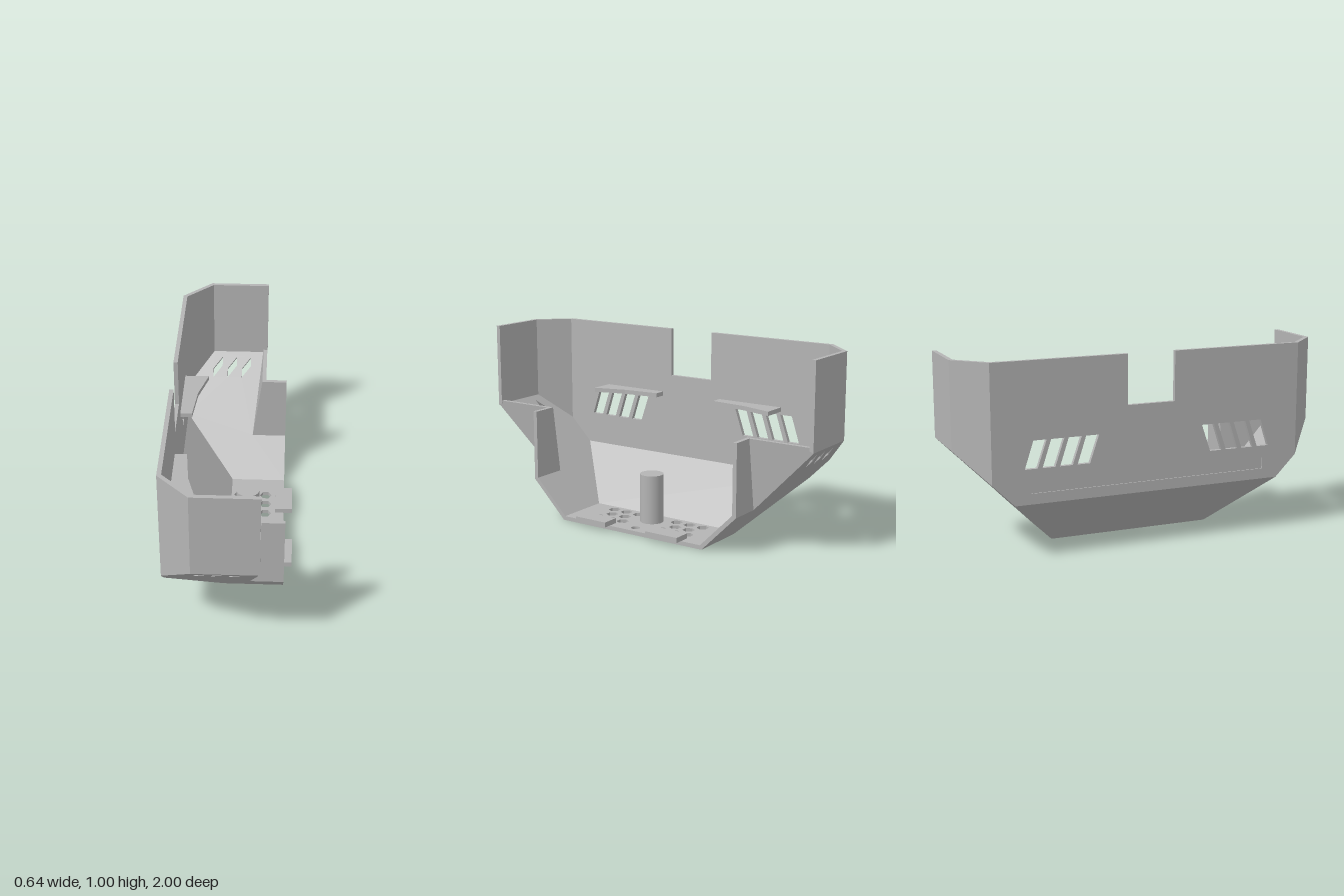
import * as THREE from 'three';

const T = 0.022; // wall thickness
const V = (x, y, z) => new THREE.Vector3(x, y, z);

// Plane through n.p = d; walls move inward with depth, rims (cut edges) stay put
function plane(x, y, z, d, rim = false) {
  const n = V(x, y, z), len = n.length();
  return { n: n.divideScalar(len), d: d / len, rim };
}
const rim = (x, y, z, d) => plane(x, y, z, d, true);

// Common point of three planes at depth t
function meet(a, b, c, t) {
  const off = (p) => (p.rim ? p.d : p.d - t);
  const bc = b.n.clone().cross(c.n), ca = c.n.clone().cross(a.n), ab = a.n.clone().cross(b.n);
  const det = a.n.dot(bc);
  return bc.multiplyScalar(off(a)).add(ca.multiplyScalar(off(b))).add(ab.multiplyScalar(off(c))).divideScalar(det);
}

// Mitred wall on plane p bounded by a ring of planes, between depths t0 and t1, with holes
function wallGeometry(p, ring, holes = [], t0 = 0, t1 = T) {
  const u = (Math.abs(p.n.y) > 0.9 ? V(1, 0, 0) : V(0, 1, 0)).cross(p.n).normalize();
  const v = p.n.clone().cross(u);
  const flat = (q) => new THREE.Vector2(q.dot(u), q.dot(v));
  const lift = (q, t) => u.clone().multiplyScalar(q.x).addScaledVector(v, q.y).addScaledVector(p.n, p.d - t);
  const corners = (t) => ring.map((a, i) => meet(p, a, ring[(i + 1) % ring.length], t)).map(flat);
  let outer = corners(t0), inner = corners(t1);
  if (THREE.ShapeUtils.isClockWise(outer)) { outer.reverse(); inner.reverse(); }
  const cuts = holes.map((h) => {
    const c = h.map(flat);
    return THREE.ShapeUtils.isClockWise(c) ? c : c.reverse();
  });
  const pos = [];
  const tri = (...pts) => pts.forEach((q) => pos.push(q.x, q.y, q.z));
  const cap = (loop, t, sign) => {
    const pts = [loop, ...cuts].flat();
    for (const [i, j, k] of THREE.ShapeUtils.triangulateShape(loop, cuts)) {
      const a = pts[i], b = pts[j], c = pts[k];
      const ccw = (b.x - a.x) * (c.y - a.y) - (b.y - a.y) * (c.x - a.x) > 0;
      const order = ccw === sign > 0 ? [a, b, c] : [a, c, b];
      tri(...order.map((q) => lift(q, t)));
    }
  };
  cap(outer, t0, 1);
  cap(inner, t1, -1);
  const sides = (lo, li) => lo.forEach((q, i) => {
    const j = (i + 1) % lo.length;
    const a = lift(q, t0), b = lift(lo[j], t0), c = lift(li[i], t1), d = lift(li[j], t1);
    tri(a, c, b);
    tri(b, c, d);
  });
  sides(outer, inner);
  cuts.forEach((c) => sides(c, c));
  const g = new THREE.BufferGeometry();
  g.setAttribute('position', new THREE.Float32BufferAttribute(pos, 3));
  g.computeVertexNormals();
  return g;
}

// Regular hole in the floor
const roundHole = (x, z, r, n) => Array.from({ length: n }, (_, i) =>
  V(x + r * Math.cos((i / n) * Math.PI * 2), 0, z + r * Math.sin((i / n) * Math.PI * 2)));

export function createModel() {
  const model = new THREE.Group();
  model.name = 'openHousing';
  const grey = new THREE.MeshStandardMaterial({ color: 0xb4b4b4 });
  grey.name = 'lightGrey';
  const add = (name, geometry) => {
    const m = new THREE.Mesh(geometry, grey);
    m.name = name;
    model.add(m);
    return m;
  };

  // Shared planes
  const floor = plane(0, -1, 0, 0), back = plane(-1, 0, 0, 0.32), bevel = plane(-1, -1, 0, 0.035);
  const cheekFront = plane(1, -0.14, 0, 0.077);
  const top = rim(0, 1, 0, 1.005), mid = rim(0, 1, 0, 0.58);
  const front = rim(1, 0, 0, 0.275), endFront = rim(1, 0, 0, 0.16), notchBase = rim(0, 1, 0, 0.745);
  const side = (s) => ({
    slope: plane(0, -1, s, 0.445), corner: plane(-1, 0, s, 1.165), end: plane(0, 0, s, 1),
    panel: plane(0, 0, s, 0.645), notch: rim(0, 0, s, 0.13),
  });
  const L = side(1), R = side(-1);

  const vents = [], hexes = [], grooves = [];
  for (const s of [1, -1]) {
    // Slanted vents in the back wall
    for (let k = 0; k < 4; k++) {
      const o = 0.092 * k;
      vents.push([[0.335, 0.465], [0.402, 0.465], [0.355, 0.608], [0.286, 0.608]]
        .map(([z, y]) => V(-0.32, y, s * (z + o))));
    }
    // Honeycomb in the floor
    for (const x of [0.022, 0.17]) for (const z of [0.125, 0.208, 0.29]) hexes.push(roundHole(x, s * z, 0.033, 6));
    for (const z of [0.165, 0.25]) hexes.push(roundHole(0.096, s * z, 0.033, 6));
    grooves.push([[-0.015, 0.4], [0.255, 0.4], [0.255, 0.415], [-0.015, 0.415]].map(([x, z]) => V(x, 0, s * z)));
  }
  hexes.push(roundHole(0.225, 0, 0.024, 24), roundHole(0.075, 0, 0.035, 32));

  // Back wall with top notch, vents and a shallow outer recess
  const backRing = [top, L.corner, L.slope, bevel, R.slope, R.corner, top, R.notch, notchBase, L.notch];
  const recess = [[-0.645, 0.34], [0.645, 0.34], [0.645, 0.4], [-0.645, 0.4]].map(([z, y]) => V(-0.32, y, z));
  add('backWallSkin', wallGeometry(back, backRing, [...vents, recess], 0, 0.006));
  add('backWall', wallGeometry(back, backRing, vents, 0.006, T));

  // Floor and the bevel joining it to the back
  const floorRing = [bevel, L.slope, front, R.slope];
  add('floorSkin', wallGeometry(floor, floorRing, [...hexes, ...grooves], 0, 0.005));
  add('floor', wallGeometry(floor, floorRing, hexes, 0.005, T));
  add('bottomBevel', wallGeometry(bevel, [back, L.slope, floor, R.slope]));

  // Mirrored ends
  for (const [s, S, word] of [[1, L, 'left'], [-1, R, 'right']]) {
    const slots = [0, 1, 2].map((k) => [[-0.158, 0.437], [-0.105, 0.487], [-0.105, 0.525], [-0.158, 0.475]]
      .map(([x, y]) => V(x + 0.084 * k, y, s * (y + 0.445))));
    add(word + 'SlopedWall', wallGeometry(S.slope,
      [floor, bevel, back, S.corner, S.end, cheekFront, S.panel, front], slots));
    add(word + 'CornerWall', wallGeometry(S.corner, [top, back, S.slope, S.end]));
    add(word + 'EndWall', wallGeometry(S.end, [top, S.corner, S.slope, endFront]));
    add(word + 'FrontCheek', wallGeometry(cheekFront, [S.slope, S.end, mid, S.panel]));
    add(word + 'SidePanel', wallGeometry(S.panel, [S.slope, front, mid, cheekFront]));

    // Tapered shelf on the inside of the back wall
    const outline = [[-0.305, 0.185], [-0.235, 0.185], [-0.215, 0.39], [-0.165, 0.565], [-0.305, 0.565]];
    const shelf = new THREE.ExtrudeGeometry(
      new THREE.Shape(outline.map(([x, z]) => new THREE.Vector2(x, -s * z))), { depth: 0.023, bevelEnabled: false });
    shelf.rotateX(-Math.PI / 2);
    add(word + 'Shelf', shelf).position.y = 0.625;

    // Front locating tab
    add(word + 'Tab', new THREE.BoxGeometry(0.095, 0.034, 0.195)).position.set(0.2725, 0.038, s * 0.2275);
    model.children.at(-1).scale.y = 0.8;
  }

  // Hollow mounting post: outer wall, cap and blind bore
  const post = new THREE.Group();
  post.name = 'mountingPost';
  post.position.set(0.075, 0, 0);
  const postPart = (name, geometry, y) => {
    const m = add(name, geometry);
    m.position.y = y;
    post.add(m);
  };
  postPart('postWall', new THREE.CylinderGeometry(0.063, 0.063, 0.265, 40, 1, true), 0.1525);
  postPart('postCap', new THREE.CircleGeometry(0.063, 40).rotateX(-Math.PI / 2), 0.285);
  const bore = new THREE.LatheGeometry([[0, 0.25], [0.035, 0.25], [0.035, 0.25], [0.035, 0.005]]
    .map(([r, y]) => new THREE.Vector2(r, y)), 32);
  bore.setIndex([...bore.index.array]);
  const boreMesh = new THREE.Mesh(bore.toNonIndexed(), grey);
  boreMesh.geometry.computeVertexNormals();
  boreMesh.name = 'postBore';
  post.add(boreMesh);
  model.add(post);
  return model;
}
